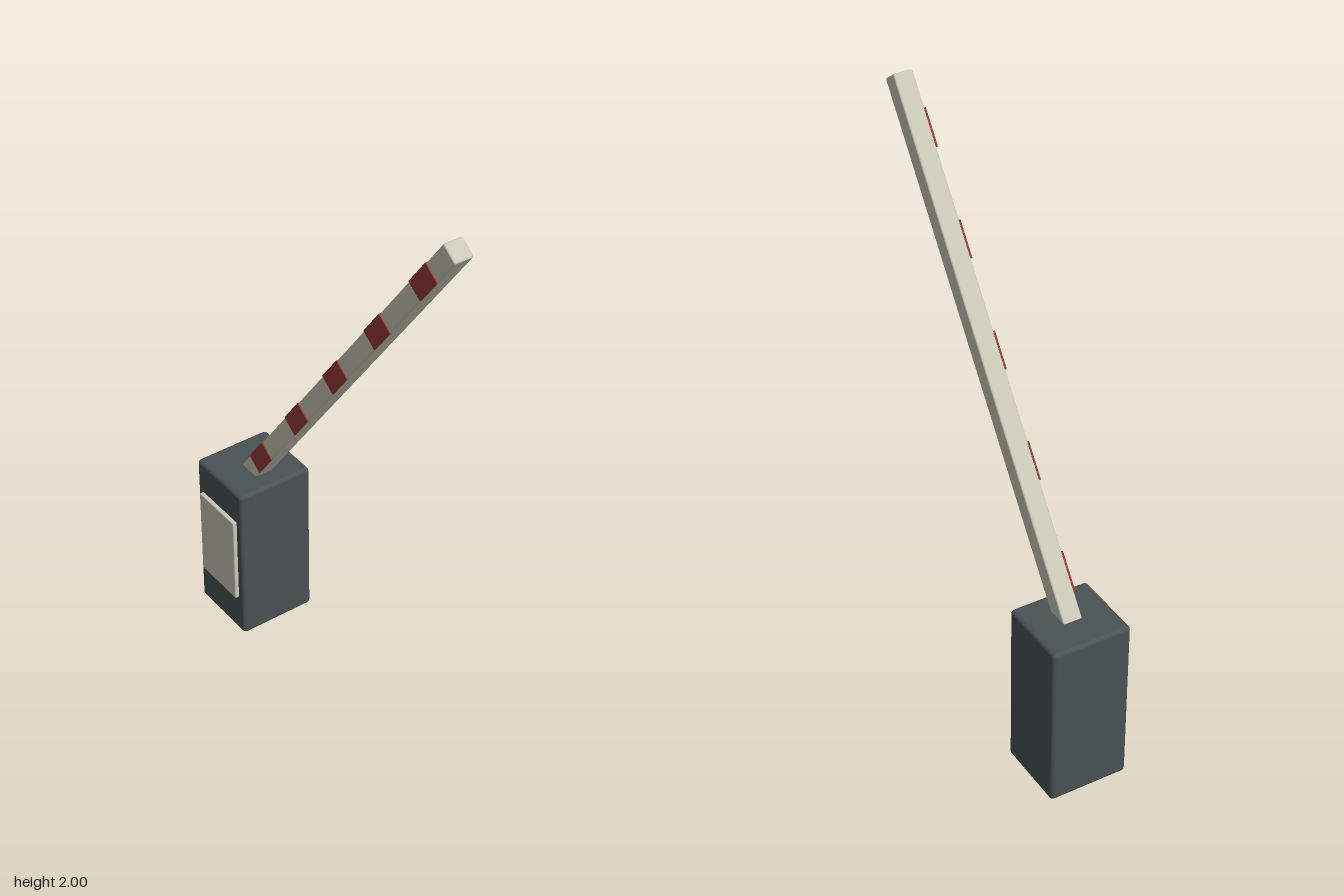
import * as THREE from 'three';
import { RoundedBoxGeometry } from 'three/addons/geometries/RoundedBoxGeometry.js';

export function createModel() {
  const model = new THREE.Group();
  model.name = 'barrierGate';

  const material = (name, color) => {
    const m = new THREE.MeshStandardMaterial({ color });
    m.name = name;
    return m;
  };
  const darkGrey = material('darkGrey', 0x4a5254);
  const cream = material('cream', 0xc9c8b6);
  const red = material('red', 0x943a36);

  const add = (parent, name, geometry, mat, x, y, z) => {
    const mesh = new THREE.Mesh(geometry, mat);
    mesh.name = name;
    mesh.position.set(x, y, z);
    parent.add(mesh);
    return mesh;
  };

  // Housing with softened edges, and its front access panel
  add(model, 'housing', new RoundedBoxGeometry(0.258, 0.595, 0.276, 3, 0.014), darkGrey, -0.459, 0.2975, -0.008);
  add(model, 'accessPanel', new RoundedBoxGeometry(0.2, 0.327, 0.026, 2, 0.004), cream, -0.459, 0.3115, 0.131);

  // Raised arm: local +x runs from the pivot inside the housing to the tip
  const arm = new THREE.Group();
  arm.name = 'arm';
  const tip = new THREE.Vector2(0.561, 1.983);
  const angle = Math.atan2(0.284, 0.204);
  const length = 1.77;
  arm.position.set(tip.x - length * Math.cos(angle), tip.y - length * Math.sin(angle), -0.009);
  arm.rotation.z = angle;
  model.add(arm);
  add(arm, 'boom', new RoundedBoxGeometry(length, 0.066, 0.066, 2, 0.006), cream, length / 2, 0, 0);

  // Warning stripes on the front face, evenly spaced back from the tip
  const stripe = new THREE.BoxGeometry(0.122, 0.066, 0.006);
  for (let i = 0; i < 5; i++) {
    add(arm, 'stripe' + (i + 1), stripe, red, length - 0.182 - i * 0.35, 0, 0.034);
  }

  return model;
}
